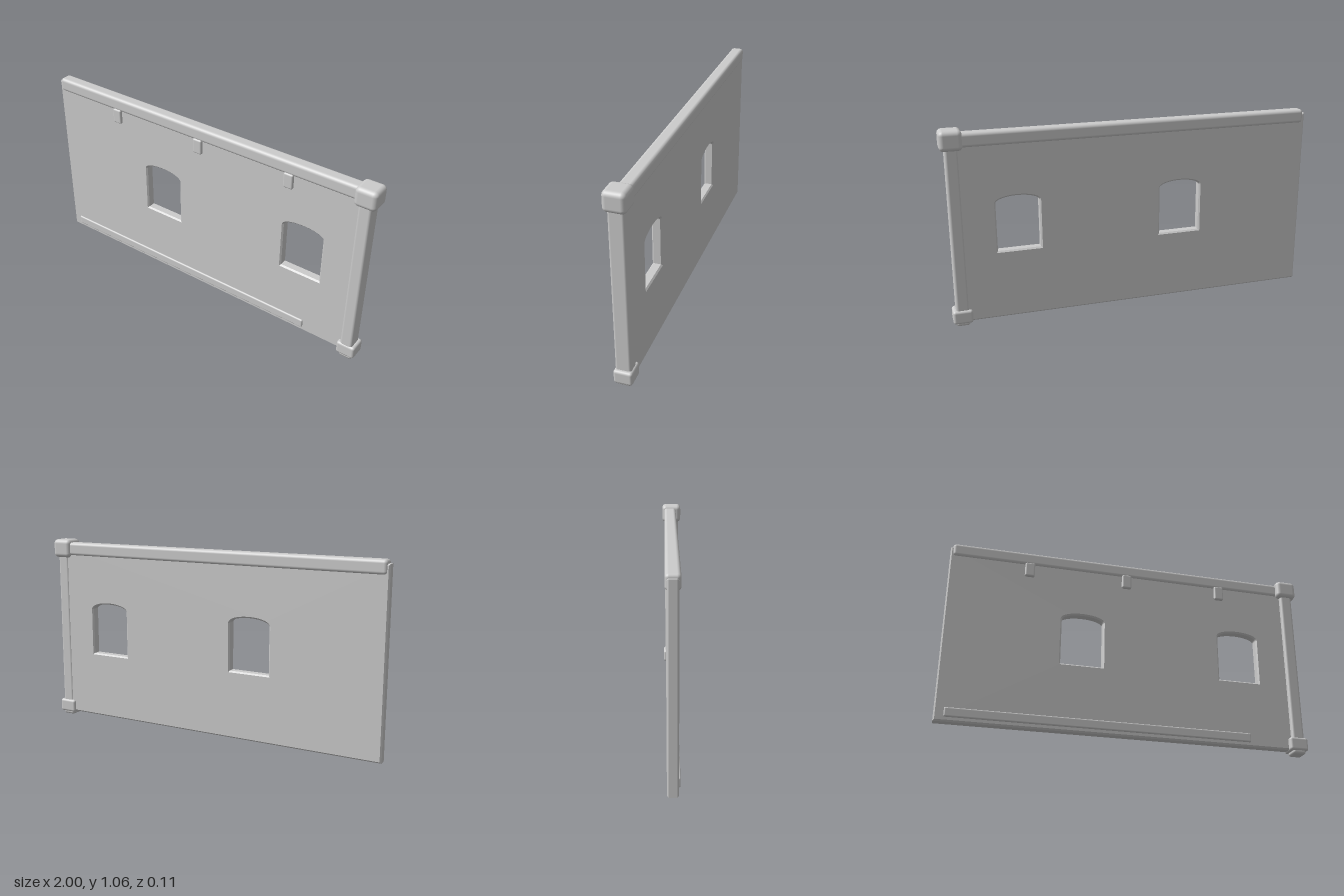
import * as THREE from 'three';
import { RoundedBoxGeometry } from 'three/addons/geometries/RoundedBoxGeometry.js';

export function createModel() {
  const model = new THREE.Group();
  model.name = 'wallSection';
  const plaster = new THREE.MeshStandardMaterial({ color: 0xcccccc });
  plaster.name = 'light grey';

  const add = (name, geometry) => {
    const mesh = new THREE.Mesh(geometry, plaster);
    mesh.name = name;
    model.add(mesh);
    return mesh;
  };

  // Soft-edged block given by its min and max corners
  const block = (name, [x0, y0, z0], [x1, y1, z1], radius) => {
    const geometry = new RoundedBoxGeometry(x1 - x0, y1 - y0, z1 - z0, 3, radius);
    add(name, geometry).position.set((x0 + x1) / 2, (y0 + y1) / 2, (z0 + z1) / 2);
  };

  // Wall panel with two arched window openings and chamfered edges
  const wall = new THREE.Shape();
  wall.moveTo(-1, 0.025);
  wall.lineTo(0.94, 0.025);
  wall.lineTo(0.94, 1.02);
  wall.lineTo(-1, 1.02);
  wall.closePath();
  for (const [left, right] of [[-0.38, -0.152], [0.508, 0.736]]) {
    const hole = new THREE.Path();
    hole.moveTo(left, 0.4);
    hole.lineTo(left, 0.66);
    hole.absellipse((left + right) / 2, 0.66, (right - left) / 2, 0.035, Math.PI, 0, true);
    hole.lineTo(right, 0.4);
    hole.closePath();
    wall.holes.push(hole);
  }
  const bevel = 0.008;
  const panel = new THREE.ExtrudeGeometry(wall, {
    depth: 0.054 - 2 * bevel,
    bevelThickness: bevel,
    bevelSize: bevel,
    bevelOffset: -bevel,
    bevelSegments: 1,
    curveSegments: 16,
  });
  panel.translate(0, 0, -0.036 + bevel);
  add('wallPanel', panel);

  // Top beam and skirting rail
  block('topBeam', [-0.988, 0.965, -0.044], [0.92, 1.04, 0.027], 0.018);
  block('skirtingRail', [-0.95, 0.048, 0], [0.668, 0.098, 0.026], 0.008);

  // Small brackets under the beam
  for (const x of [-0.568, -0.023, 0.523]) {
    block('beamBracket', [x - 0.027, 0.892, 0], [x + 0.027, 0.975, 0.033], 0.009);
  }

  // Corner post with cap, base block and foot
  block('cornerPost', [0.903, 0.04, -0.04], [0.972, 1.0, 0.042], 0.014);
  block('postCap', [0.88, 0.952, -0.057], [0.997, 1.056, 0.057], 0.024);
  block('postBase', [0.886, 0.018, -0.05], [0.99, 0.092, 0.047], 0.014);
  block('postFoot', [0.902, 0, -0.038], [0.976, 0.04, 0.04], 0.014);

  return model;
}
